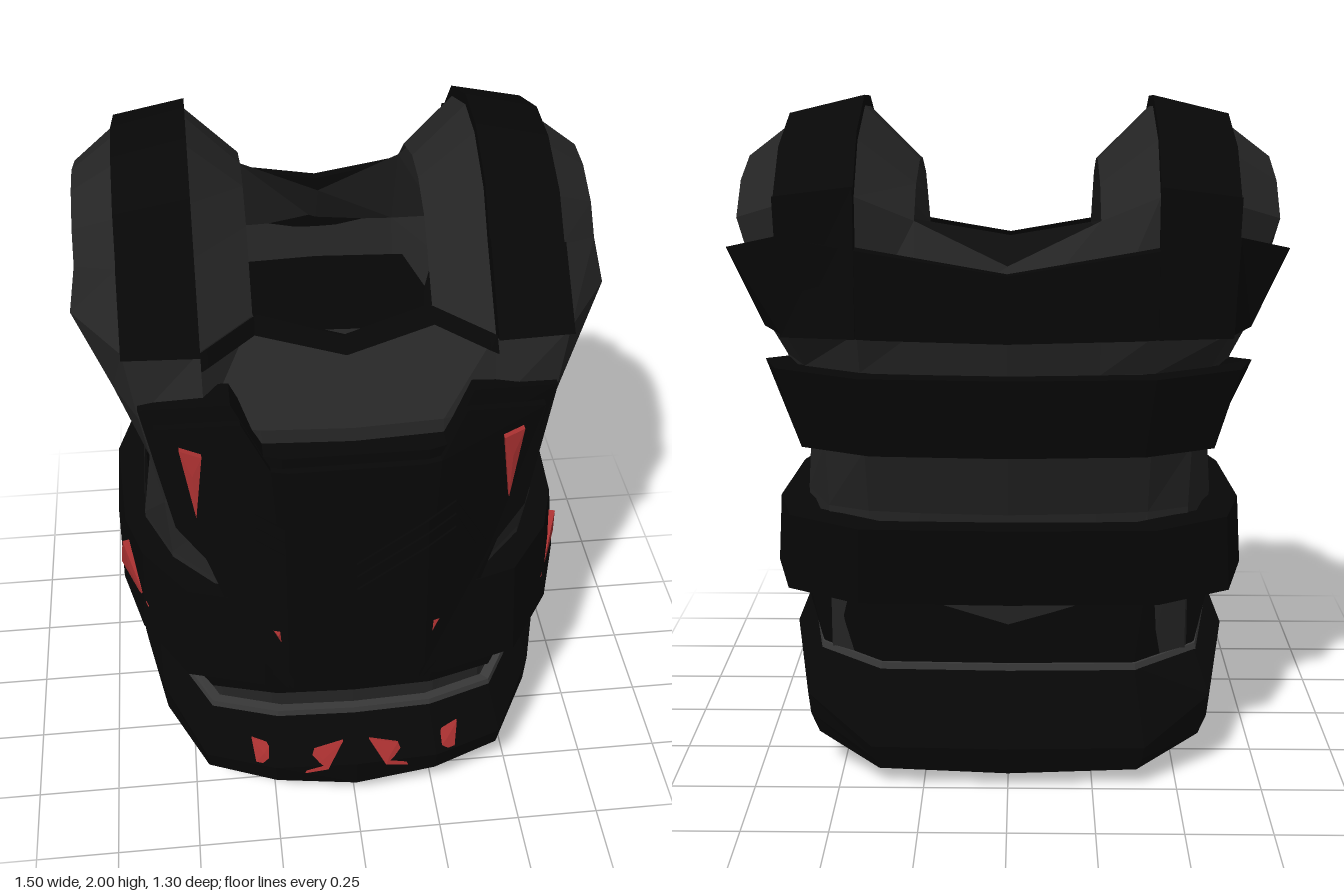
import * as THREE from 'three';

const mat = (color) => new THREE.MeshStandardMaterial({ color, flatShading: true, side: THREE.DoubleSide });
const CLOTH = mat(0x252525), ARMOR = mat(0x070707), TRIM = mat(0x383838), RED = mat(0xa83030);

// Flat-shaded mesh from convex polygons of the +x half, mirrored to -x
function facesMesh(name, faces, material) {
  const pos = [];
  for (const f of faces) {
    const flip = f.map(([x, y, z]) => [-x, y, z]).reverse();
    for (const p of [f, flip])
      for (let i = 1; i < p.length - 1; i++) pos.push(...p[0], ...p[i], ...p[i + 1]);
  }
  const g = new THREE.BufferGeometry();
  g.setAttribute('position', new THREE.Float32BufferAttribute(pos, 3));
  g.computeVertexNormals();
  const m = new THREE.Mesh(g, material);
  m.name = name;
  return m;
}

// Solid swept through closed cross-section loops, with end caps
function loopFaces(loops) {
  const faces = [], n = loops[0].length;
  for (let i = 0; i < loops.length - 1; i++)
    for (let j = 0; j < n; j++) {
      const k = (j + 1) % n;
      faces.push([loops[i][j], loops[i][k], loops[i + 1][k], loops[i + 1][j]]);
    }
  return [...faces, [...loops[0]].reverse(), loops[loops.length - 1]];
}

// Band around the torso: each column lists its outer points from top to bottom
function band(name, cols, inset = 0.95, material = ARMOR) {
  const inner = ([x, y, z]) => [x * inset, y, 0.03 + (z - 0.03) * inset];
  return facesMesh(name, loopFaces(cols.map((c) => [...c, ...[...c].reverse().map(inner)])), material);
}

// Full ring on the waist outline (front to back); each level is [x scale, z scale, z shift, heights]
const WAIST = [[0, 0.555], [0.25, 0.545], [0.46, 0.48], [0.58, 0.32], [0.63, 0.17],
  [0.65, -0.15], [0.6, -0.32], [0.4, -0.43], [0, -0.44]];
const ring = (name, levels, inset, material) => band(name, WAIST.map(([x, z], i) =>
  levels.map(([sx, sz, dz, ys]) => [x * sx, ys[i], z * sz + dz])), inset, material);

// Curved armour plate from half outlines, draped on the chest
const chestZ = (x, y) =>
  0.55 - 0.34 * Math.max(0, x - 0.2) - 0.05 * (y - 0.8) - 0.25 * Math.max(0, y - 1.33);
function plate(name, outlines, lo, hi) {
  const faces = [];
  for (const o of outlines) {
    const front = o.map(([x, y]) => [x, y, chestZ(x, y) + hi]);
    const back = o.map(([x, y]) => [x, y, chestZ(x, y) + lo]);
    const tris = THREE.ShapeUtils.triangulateShape(o.map((p) => new THREE.Vector2(...p)), []);
    for (const t of tris) faces.push(t.map((i) => front[i]));
    o.forEach((_, i) => {
      const k = (i + 1) % o.length;
      faces.push([back[i], back[k], front[k], front[i]]);
    });
  }
  return facesMesh(name, faces, ARMOR);
}

// Faceted gem set through a surface by the given depth vector
function gem(name, pts, [dx, dy, dz], rise) {
  const n = pts.length;
  const back = pts.map(([x, y, z]) => [x - dx, y - dy, z - dz]);
  const mid = [0, 1, 2].map((a) => pts.reduce((s, p) => s + p[a], 0) / n + [dx, dy, dz][a] * rise);
  const faces = [[...back].reverse()];
  pts.forEach((p, i) => {
    const k = (i + 1) % n;
    faces.push([mid, p, pts[k]], [back[i], back[k], pts[k], p]);
  });
  return facesMesh(name, faces, RED);
}

// Cloth row across one half: neck edge, strap inside, strap outside, armhole edge
const flatRow = ([y, zNeck, zStrap, xOut, zOut, xArm, zArm]) =>
  [[0.25, y, zNeck], [0.4, y, zStrap], [xOut, y, zOut], [xArm, y, zArm]];
// The shoulder is an elliptical arch, lower along its edges
function archRow(deg) {
  const c = Math.cos((deg * Math.PI) / 180), s = Math.sin((deg * Math.PI) / 180);
  const at = (x, ry, rz) => [x, 1.55 + ry * s, -0.2 + rz * c];
  return [at(0.25, 0.27, 0.34), at(0.4, 0.42, 0.435), at(0.61, 0.37, 0.43), at(0.73, 0.28, 0.31)];
}

export function createModel() {
  const vest = new THREE.Group();
  vest.name = 'armoredVest';

  // Rows run up the front, over the shoulder and down the back
  const front = [
    [0.3, 0.51, 0.46, 0.54, 0.34, 0.58, 0.15],
    [0.84, 0.51, 0.45, 0.52, 0.32, 0.6, 0.13],
    [1.05, 0.51, 0.45, 0.53, 0.34, 0.57, 0.12],
    [1.38, 0.46, 0.42, 0.58, 0.37, 0.65, 0.21],
    [1.58, 0.2, 0.36, 0.61, 0.35, 0.75, 0.13],
  ];
  const back = [
    [1.4, -0.6, -0.6, 0.6, -0.57, 0.65, -0.48],
    [1.28, -0.57, -0.55, 0.56, -0.47, 0.63, -0.32],
    [1.04, -0.51, -0.49, 0.52, -0.42, 0.58, -0.25],
    [0.84, -0.44, -0.42, 0.52, -0.37, 0.6, -0.2],
    [0.28, -0.37, -0.37, 0.53, -0.31, 0.58, -0.15],
  ];
  const rows = [...front.map(flatRow), ...[30, 50, 75, 95, 125, 150].map(archRow), ...back.map(flatRow)];
  const cloth = [];
  for (let i = 0; i < rows.length - 1; i++)
    for (let j = 0; j < 3; j++) cloth.push([rows[i][j], rows[i][j + 1], rows[i + 1][j + 1], rows[i + 1][j]]);
  // Middle of chest and back, dipping at the two necklines
  const dip = { 4: 0.05, 10: 0.12 };
  const middle = (i) => {
    const [, y, z] = rows[i][0];
    return [0, y - (dip[i] ?? 0), z + Math.sign(z) * (i === 4 ? 0.05 : 0.015)];
  };
  for (const i of [0, 1, 2, 3, 10, 11, 12, 13, 14])
    cloth.push([middle(i), rows[i][0], rows[i + 1][0], middle(i + 1)]);
  // Side under the armhole
  cloth.push([rows[0][3], rows[15][3], rows[14][3], rows[1][3]]);
  vest.add(facesMesh('clothShell', cloth, CLOTH));

  // Shoulder straps and their thicker end pads
  const strap = (name, from, to, t) => {
    const out = ([x, y, z]) => {
      const dy = y - 1.45, dz = z + 0.18, l = Math.hypot(dy, dz);
      return [x, y + (t * dy) / l, z + (t * dz) / l];
    };
    vest.add(facesMesh(name, loopFaces(rows.slice(from, to + 1).map((r) => [out(r[1]), out(r[2]), r[2], r[1]])), ARMOR));
  };
  strap('shoulderStrap', 4, 11, 0.03);
  strap('frontStrapPad', 4, 5, 0.05);
  strap('backStrapPad', 10, 11, 0.05);

  // Collar edge along the front neckline
  const collar = [middle(4), rows[4][0], rows[4][1]];
  vest.add(band('collarTrim', collar.map(([x, y, z]) => [[x, y + 0.01, z + 0.02], [x, y - 0.025, z + 0.06]])));

  // Back bands
  vest.add(band('upperBackBand', [
    [[0.75, 1.62, -0.53], [0.66, 1.4, -0.5]],
    [[0.61, 1.66, -0.61], [0.6, 1.4, -0.61]],
    [[0.36, 1.62, -0.63], [0.36, 1.39, -0.64]],
    [[0, 1.56, -0.63], [0, 1.38, -0.64]],
  ]));
  vest.add(band('middleBackBand', [
    [[0.69, 1.27, -0.34], [0.61, 1.04, -0.26]],
    [[0.64, 1.28, -0.5], [0.58, 1.04, -0.45]],
    [[0.4, 1.28, -0.62], [0.38, 1.04, -0.54]],
    [[0, 1.28, -0.64], [0, 1.04, -0.56]],
  ], 0.91));

  // Waist belt in two layers, then the flared hem belt with a light edge
  const level = (y) => WAIST.map(() => y);
  vest.add(ring('waistBelt', [
    [1.05, 1.1, -0.05, level(0.82)],
    [1.08, 1.08, -0.02, [0.5, 0.5, 0.5, 0.55, 0.61, 0.6, 0.58, 0.58, 0.58]],
  ], 0.87));
  vest.add(ring('lowerWaistLayer', [
    [1.01, 0.97, 0.015, level(0.62)],
    [0.93, 0.965, 0.015, [0.43, 0.43, 0.42, 0.46, 0.5, 0.5, 0.38, 0.35, 0.35]],
  ]));
  const hemTop = [0.35, 0.35, 0.35, 0.43, 0.51, 0.51, 0.37, 0.35, 0.35];
  vest.add(ring('hemBelt', [
    [0.93, 0.98, 0.015, hemTop],
    [1, 1.18, -0.005, [0.2, 0.2, 0.2, 0.32, 0.4, 0.4, 0.25, 0.14, 0.14]],
    [0.99, 1.16, -0.005, [0.1, 0.13, 0.14, 0.22, 0.34, 0.34, 0.18, 0.1, 0.1]],
    [0.95, 1.05, -0.04, [0, 0.07, 0.07, 0.13, 0.3, 0.28, 0.12, 0.06, 0.05]],
  ]));
  vest.add(ring('hemEdge', [
    [0.935, 0.985, 0.015, hemTop.map((y) => y + 0.012)],
    [0.94, 0.99, 0.015, hemTop.map((y) => y - 0.008)],
  ], 0.95, TRIM));

  // Chest armour: base plate, inset plate and stacked chevron steps
  const base = [
    [[0, 0.49], [0.2, 0.49], [0.2, 1.34], [0, 1.34]],
    [[0.2, 0.49], [0.3, 0.6], [0.42, 0.95], [0.5, 1.05], [0.58, 1.42], [0.33, 1.47], [0.25, 1.34], [0.2, 1.34]],
  ];
  vest.add(plate('chestPlateBase', base, -0.08, 0.02));
  vest.add(plate('chestPlate', base.map((o) => o.map(([x, y]) => [x * 0.93, 0.51 + (y - 0.49) * 0.94])), -0.02, 0.04));
  for (const i of [0, 1, 2]) {
    const drop = i * 0.04;
    vest.add(plate('chevronPlate', [
      [[0, 0.53], [0.17, 0.53], [0.2, 0.6], [0.2, 1.12 - drop], [0, 0.98 - drop]],
      [[0.2, 0.6], [0.38 - drop / 2, 0.98 - drop / 2], [0.28, 1.16 - drop], [0.2, 1.12 - drop]],
    ], 0, 0.047 + i * 0.007));
  }

  // Gems on chest, plate foot, hem and flanks
  const onChest = (pts) => pts.map(([x, y]) => [x, y, chestZ(x, y) + 0.05]);
  const onHem = (pts) => pts.map(([x, y]) =>
    [x, y, 0.652 - 0.15 * Math.max(0, x - 0.1) - 0.57 * Math.max(0, y - 0.2)]);
  vest.add(gem('chestGem', onChest([[0.44, 1.12], [0.475, 1.34], [0.415, 1.33]]), [0, 0, 0.11], 0.03));
  vest.add(gem('plateGem', onChest([[0.205, 0.66], [0.268, 0.785], [0.212, 0.785]]), [0, 0, 0.11], 0.15));
  vest.add(gem('innerHemGem', onHem([[0.04, 0.27], [0.09, 0.19], [0.16, 0.17], [0.13, 0.25]]), [0, 0, 0.06], 0.1));
  vest.add(gem('outerHemGem', onHem([[0.25, 0.2], [0.31, 0.21], [0.32, 0.275], [0.26, 0.265]]), [0, 0, 0.06], 0.1));
  vest.add(gem('flankGem', [[0.607, 0.64, 0.34], [0.685, 0.66, 0.15], [0.675, 0.77, 0.18]], [0.1, 0, 0.03], 0.03));
  return vest;
}
